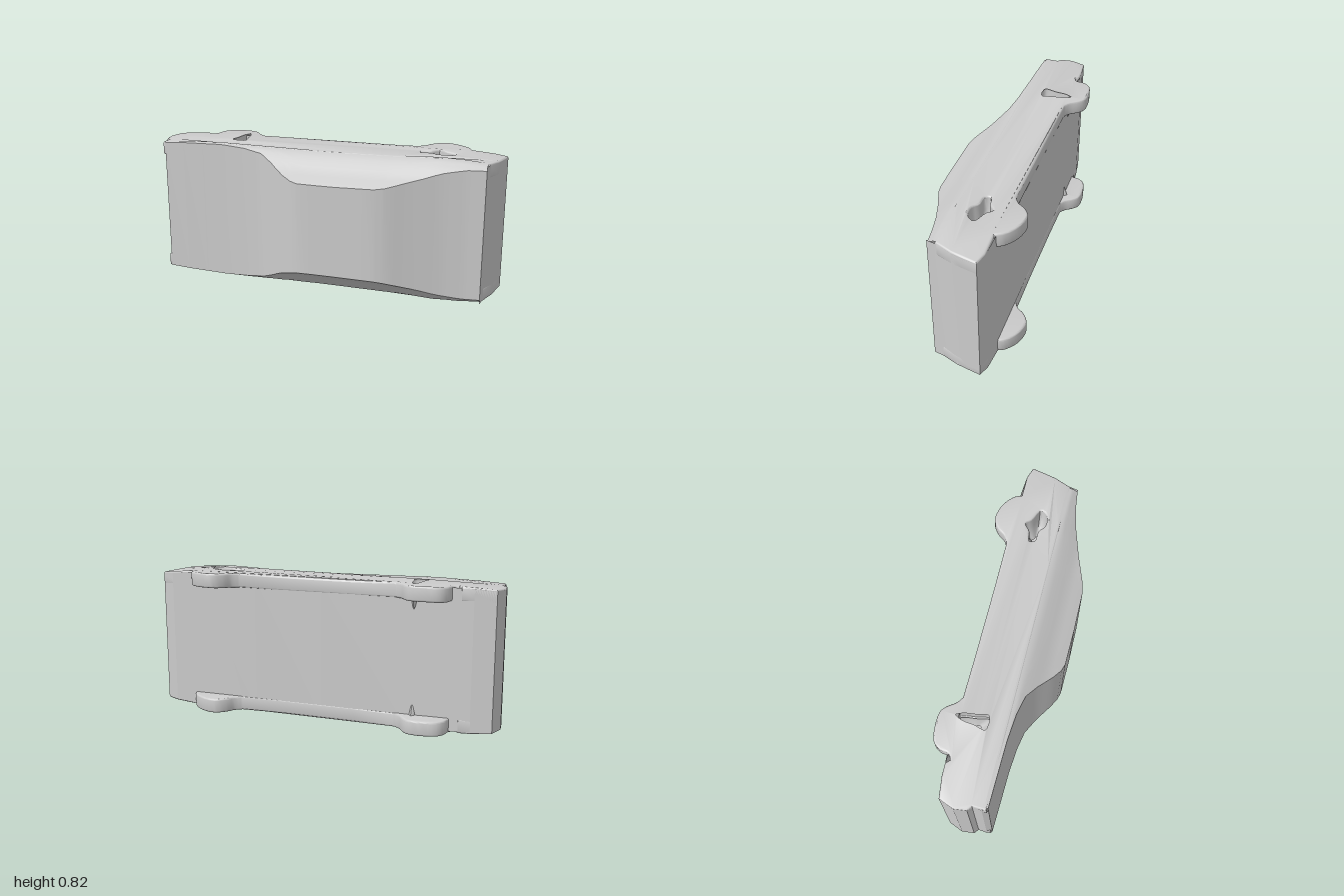
import * as THREE from 'three';
import { toCreasedNormals } from 'three/addons/utils/BufferGeometryUtils.js';

const MID = 0.413; // middle of the car's width, which runs along y
const material = new THREE.MeshStandardMaterial({ color: 0xcccccc, side: THREE.DoubleSide });

// linear lookup in a list of [input, output] pairs
function lookup(table, v) {
  if (v <= table[0][0]) return table[0][1];
  for (let i = 1; i < table.length; i++) {
    const [a, fa] = table[i - 1], [b, fb] = table[i];
    if (v <= b) return fa + (fb - fa) * (v - a) / (b - a);
  }
  return table[table.length - 1][1];
}

// half width of the body at a height z, and its swelling along the length
const flank = [[0.06, 0.395], [0.09, 0.388], [0.13, 0.36], [0.2, 0.305], [0.265, 0.268], [0.285, 0.255]];
const swelling = [[-1, 0.975], [-0.85, 1], [-0.6, 1.02], [0, 1], [0.4, 1.01], [0.65, 1.033], [0.8, 1.02], [1, 0.975]];

// roofline and lower outline, as [x, z]
const roofline = [[-0.955, 0.08], [-0.6, 0.088], [-0.45, 0.1], [-0.34, 0.122], [-0.26, 0.17],
  [-0.17, 0.238], [-0.12, 0.268], [-0.08, 0.28], [0.13, 0.283], [0.35, 0.28], [0.41, 0.268],
  [0.55, 0.212], [0.7, 0.16], [0.82, 0.132], [0.917, 0.12]];
const rightEnd = [[0.917, 0.12], [0.93, 0.06], [0.965, -0.02], [0.98, -0.08], [0.998, -0.16], [0.93, -0.18]];
const leftEnd = [[-0.85, -0.187], [-0.965, -0.172], [-0.998, -0.09], [-0.99, -0.02], [-0.965, 0.0], [-0.97, 0.05], [-0.955, 0.08]];

function finish(geometry, name, angle) {
  const p = geometry.attributes.position;
  for (let i = 0; i < p.count; i++) {
    p.setY(i, MID + (p.getY(i) - MID) * lookup(swelling, p.getX(i)));
  }
  const mesh = new THREE.Mesh(toCreasedNormals(geometry, angle), material);
  mesh.name = name;
  return mesh;
}

// surface through rows of points
function sheet(rows, name, angle = 0.5) {
  const n = rows[0].length, index = [];
  for (let i = 0; i < rows.length - 1; i++) {
    for (let j = 0; j < n - 1; j++) {
      const a = i * n + j, b = a + n;
      index.push(a, b + 1, b, a, a + 1, b + 1);
    }
  }
  const geometry = new THREE.BufferGeometry();
  geometry.setAttribute('position', new THREE.Float32BufferAttribute(rows.flat(2), 3));
  geometry.setIndex(index);
  return finish(geometry, name, angle);
}

// flat band across the car following a profile
function band(profile, halfWidth, name) {
  return sheet(profile.map(([x, z]) => [[x, MID + halfWidth, z], [x, MID - halfWidth, z]]), name, 0.35);
}

// cross-section from one flank over the top to the other
function section(x, top) {
  const side = [];
  for (let i = 0; i <= 8; i++) {
    const z = 0.06 + (top - 0.06) * i / 8;
    side.push([lookup(flank, z), z]);
  }
  return [
    ...side.map(([w, z]) => [x, MID + w, z]),
    ...side.reverse().map(([w, z]) => [x, MID - w, z]),
  ];
}

const vectors = (points) => points.map(([x, z]) => new THREE.Vector2(x, z));

// openings behind the wheels
const openings = [
  new THREE.CatmullRomCurve3([[-0.53, -0.215], [-0.56, -0.17], [-0.57, -0.1], [-0.585, -0.03],
    [-0.53, -0.015], [-0.485, -0.03], [-0.495, -0.1], [-0.505, -0.17]]
    .map(([x, z]) => new THREE.Vector3(x, 0, z)), true),
  new THREE.CatmullRomCurve3([[0.53, -0.07], [0.59, -0.085], [0.63, -0.115], [0.66, -0.085],
    [0.73, -0.05], [0.7, -0.01], [0.64, -0.005], [0.6, -0.035], [0.54, -0.04]]
    .map(([x, z]) => new THREE.Vector3(x, 0, z)), true),
].map((curve) => curve.getPoints(28).map((p) => [p.x, p.z]));

// side panel with two half wheels as part of its outline
function sidePanel() {
  const rightWheel = new THREE.SplineCurve(vectors([[0.8, -0.178], [0.78, -0.22], [0.73, -0.262],
    [0.67, -0.285], [0.61, -0.288], [0.56, -0.255], [0.53, -0.215], [0.49, -0.19]])).getPoints(24);
  const leftWheel = new THREE.SplineCurve(vectors([[-0.43, -0.19], [-0.465, -0.215], [-0.5, -0.262],
    [-0.54, -0.288], [-0.62, -0.29], [-0.69, -0.275], [-0.725, -0.235], [-0.735, -0.185], [-0.765, -0.168]])).getPoints(24);
  const shape = new THREE.Shape([
    ...vectors([[-0.968, 0.075], [-0.6, 0.075], [0, 0.075], [0.4, 0.075], [0.65, 0.075], [0.925, 0.075]]),
    ...vectors(rightEnd.slice(2)),
    ...rightWheel,
    ...vectors([[0.2, -0.188], [-0.2, -0.188]]),
    ...leftWheel,
    ...vectors([[-0.785, -0.188]]),
    ...vectors(leftEnd.slice(0, 5)),
  ]);
  shape.holes = openings.map((points) => new THREE.Path(vectors(points.slice(0, -1))));
  const geometry = new THREE.ExtrudeGeometry(shape, {
    depth: 0.06, bevelThickness: 0.01, bevelSize: 0.01, bevelOffset: -0.01, bevelSegments: 3,
  });
  return geometry.rotateX(Math.PI / 2); // now runs from y = 0.01 down to y = -0.07
}

// tapering pocket leading inward from an opening
function pocket(points, side) {
  const cx = points.reduce((s, p) => s + p[0], 0) / points.length;
  const cz = points.reduce((s, p) => s + p[1], 0) / points.length;
  const rows = [[0.385, 1], [0.32, 0.95], [0.26, 0.75], [0.22, 0.35]].map(([w, k]) =>
    points.map(([x, z]) => [cx + (x - cx) * k, MID + side * w, cz + (z - cz) * k]));
  return sheet(rows, 'wheelPocket', 0.8);
}

export function createModel() {
  const car = new THREE.Group();
  car.name = 'carBody';

  // bonnet, cabin and tail, with extra sections between the roofline points
  const rows = [];
  for (let i = 0; i < roofline.length - 1; i++) {
    const [x0, z0] = roofline[i], [x1, z1] = roofline[i + 1];
    for (let k = 0; k < 3; k++) rows.push(section(x0 + (x1 - x0) * k / 3, z0 + (z1 - z0) * k / 3));
  }
  rows.push(section(...roofline[roofline.length - 1]));
  car.add(sheet(rows, 'upperBody'));

  // ends and floor
  car.add(band(rightEnd, 0.388, 'rightEnd'));
  car.add(band([[0.93, -0.18], [0.8, -0.187], [0.4, -0.187], [0, -0.187], [-0.5, -0.187], [-0.85, -0.187]], 0.388, 'floor'));
  car.add(band(leftEnd, 0.388, 'leftEnd'));

  // side panels with wheels and pockets
  for (const side of [1, -1]) {
    const panel = sidePanel().translate(0, side > 0 ? MID + 0.385 : MID - 0.325, 0);
    car.add(finish(panel, side > 0 ? 'upperSidePanel' : 'lowerSidePanel', 0.6));
    for (const points of openings) car.add(pocket(points, side));
  }
  return car;
}
